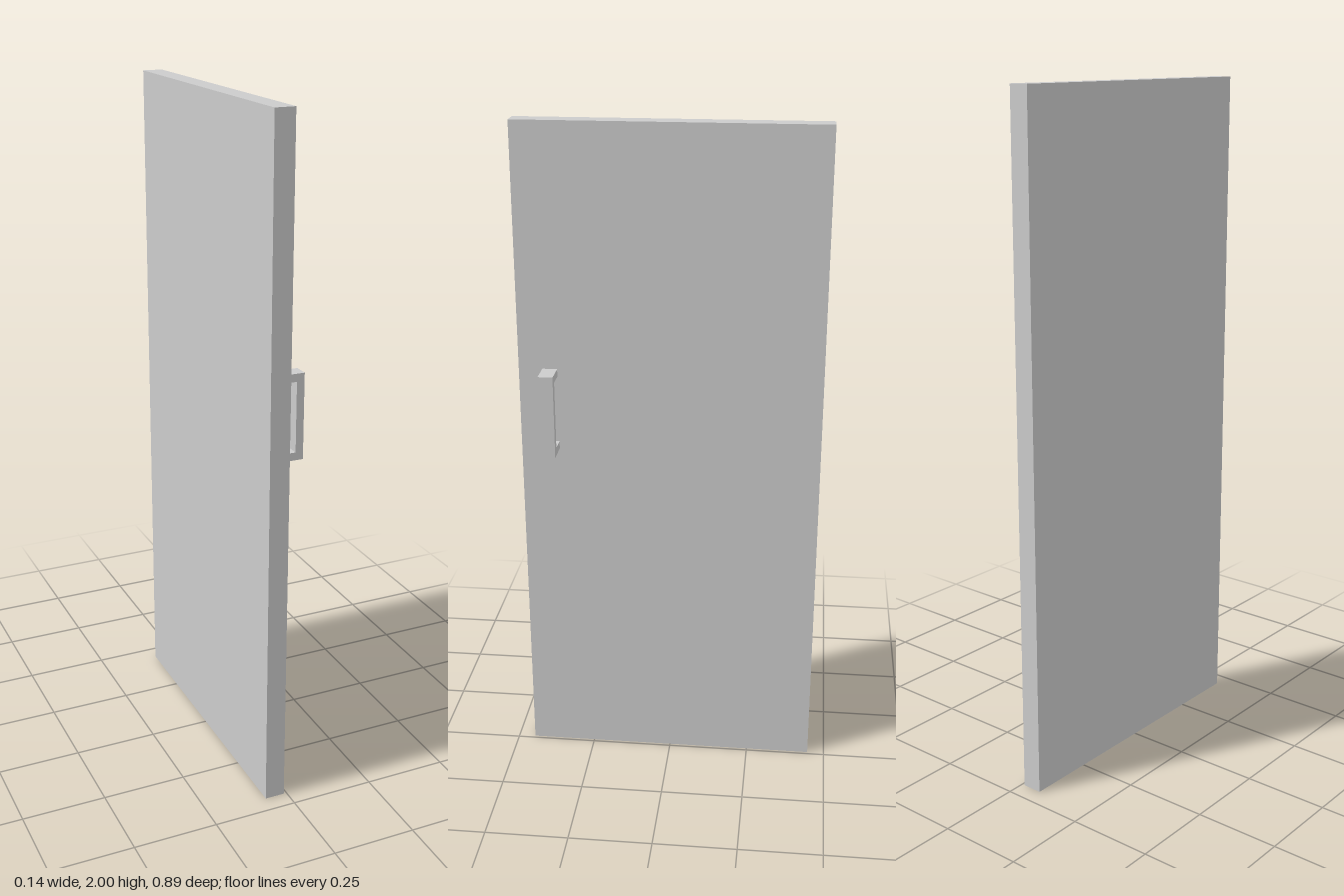
import * as THREE from 'three';

const PANEL = { left: -0.068, right: -0.009, height: 2, depth: 0.895 };
const HANDLE = { out: 0.067, bottom: 1.032, top: 1.283, bar: 0.023, back: 0.333, front: 0.377 };

export function createModel() {
  const group = new THREE.Group();
  group.name = 'door';
  const material = new THREE.MeshStandardMaterial({ color: 0xcccccc });

  // Flat door panel
  const panel = new THREE.Mesh(
    new THREE.BoxGeometry(PANEL.right - PANEL.left, PANEL.height, PANEL.depth),
    material
  );
  panel.name = 'doorPanel';
  panel.position.set((PANEL.left + PANEL.right) / 2, PANEL.height / 2, 0);
  group.add(panel);

  // Squared C-shaped pull handle, extruded along z
  const { out, bottom, top, bar, back, front } = HANDLE;
  const profile = new THREE.Shape([
    [PANEL.right, bottom], [out, bottom], [out, top], [PANEL.right, top],
    [PANEL.right, top - bar], [out - bar, top - bar],
    [out - bar, bottom + bar], [PANEL.right, bottom + bar],
  ].map(([x, y]) => new THREE.Vector2(x, y)));
  const handle = new THREE.Mesh(
    new THREE.ExtrudeGeometry(profile, { depth: front - back, bevelEnabled: false }),
    material
  );
  handle.name = 'pullHandle';
  handle.position.z = back;
  group.add(handle);

  return group;
}
